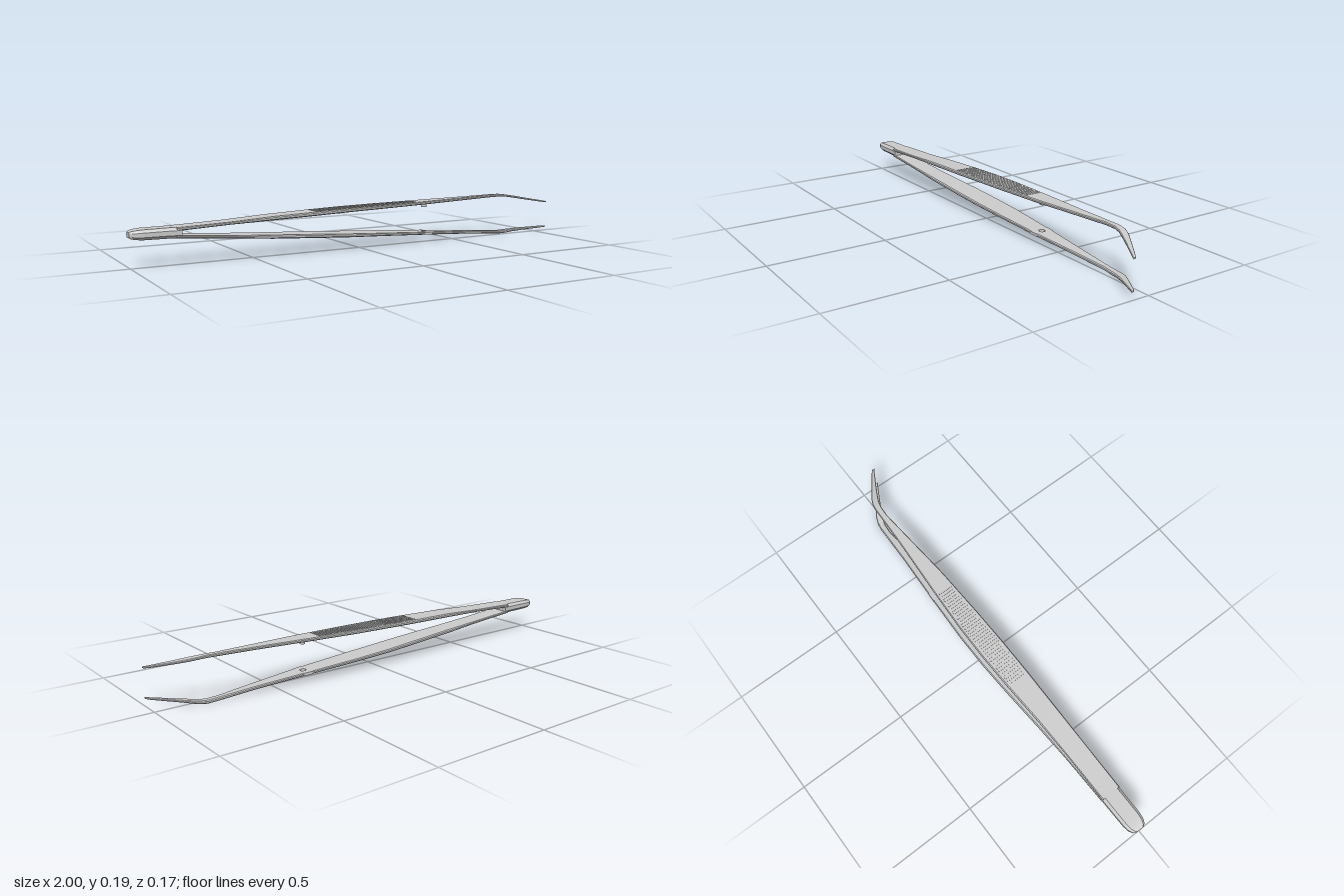
import * as THREE from 'three';
import { toCreasedNormals } from 'three/addons/utils/BufferGeometryUtils.js';

const material = new THREE.MeshStandardMaterial({ color: 0xcccccc });

// Stations: x, back z, front z, upper arm outer/inner y, lower arm inner/outer y
const stations = [
  [-1.0, -0.042, -0.002, 0.141, 0.130, 0.130, 0.119],
  [-0.992, -0.053, 0.009, 0.145, 0.130, 0.130, 0.115],
  [-0.975, -0.061, 0.017, 0.148, 0.130, 0.130, 0.112],
  [-0.95, -0.065, 0.021, 0.150, 0.130, 0.130, 0.110],
  [-0.86, -0.066, 0.022, 0.151, 0.131, 0.129, 0.109],
  [-0.8, -0.066, 0.023, 0.151, 0.138, 0.118, 0.107],
  [-0.6, -0.066, 0.024, 0.158, 0.147, 0.103, 0.092],
  [-0.42, -0.071, 0.026, 0.168, 0.152, 0.092, 0.076],
  [-0.2, -0.081, 0.028, 0.175, 0.159, 0.079, 0.063],
  [-0.05, -0.085, 0.027, 0.179, 0.164, 0.069, 0.054],
  [0.12, -0.083, 0.023, 0.182, 0.168, 0.059, 0.046],
  [0.34, -0.071, 0.014, 0.186, 0.173, 0.046, 0.034],
  [0.38, -0.068, 0.012, 0.187, 0.174, 0.044, 0.032],
  [0.6, -0.053, -0.006, 0.191, 0.179, 0.030, 0.017],
  [0.75, -0.046, -0.018, 0.194, 0.182, 0.019, 0.005],
  [0.8, -0.044, -0.014, 0.194, 0.183, 0.016, 0.002],
  [0.83, -0.039, -0.006, 0.191, 0.181, 0.018, 0.005],
  [0.86, -0.026, 0.008, 0.186, 0.176, 0.022, 0.011],
  [0.9, 0.0, 0.028, 0.178, 0.169, 0.027, 0.018],
  [0.985, 0.058, 0.074, 0.162, 0.155, 0.037, 0.030],
  [1.0, 0.071, 0.083, 0.159, 0.154, 0.038, 0.033],
];

// Linear interpolation of the station table
function at(x) {
  const i = Math.max(1, stations.findIndex((s) => s[0] >= x));
  const a = stations[i - 1], b = stations[i];
  const t = (x - a[0]) / (b[0] - a[0]);
  return a.map((v, k) => v + (b[k] - v) * t);
}

// Skin with chamfered rectangular sections between two x limits
function loft(x0, x1, topCol, bottomCol) {
  const xs = [x0, ...stations.map((s) => s[0]).filter((x) => x > x0 && x < x1), x1];
  const pos = [], index = [], n = 8;
  for (const x of xs) {
    const s = at(x), zb = s[1], zf = s[2], hi = s[topCol], lo = s[bottomCol];
    const c = Math.min((hi - lo) * 0.28, (zf - zb) * 0.2);
    const ring = [
      [lo, zb + c], [lo, zf - c], [lo + c, zf], [hi - c, zf],
      [hi, zf - c], [hi, zb + c], [hi - c, zb], [lo + c, zb],
    ];
    for (const [y, z] of ring) pos.push(x, y, z);
  }
  for (let r = 0; r < xs.length - 1; r++) {
    for (let k = 0; k < n; k++) {
      const a = r * n + k, b = r * n + (k + 1) % n;
      index.push(a, a + n, b, b, a + n, b + n);
    }
  }
  const last = (xs.length - 1) * n;
  for (let k = 1; k < n - 1; k++) {
    index.push(0, k, k + 1, last, last + k + 1, last + k);
  }
  const g = new THREE.BufferGeometry();
  g.setAttribute('position', new THREE.Float32BufferAttribute(pos, 3));
  g.setIndex(index);
  return toCreasedNormals(g, 0.6);
}

// Short panel with a round hole, sheared to follow the arm
function holedPanel(x0, x1, topCol, bottomCol) {
  const a = at(x0), b = at(x1), mid = at((x0 + x1) / 2);
  const shape = new THREE.Shape([
    new THREE.Vector2(x0, -a[2]), new THREE.Vector2(x1, -b[2]),
    new THREE.Vector2(x1, -b[1]), new THREE.Vector2(x0, -a[1]),
  ]);
  const hole = new THREE.Path();
  hole.absarc((x0 + x1) / 2, -(mid[1] + mid[2]) / 2, 0.013, 0, Math.PI * 2, true);
  shape.holes.push(hole);
  const g = new THREE.ExtrudeGeometry(shape, { depth: 1, bevelEnabled: false, curveSegments: 20 });
  g.rotateX(-Math.PI / 2);
  const p = g.attributes.position;
  for (let i = 0; i < p.count; i++) {
    const s = at(THREE.MathUtils.clamp(p.getX(i), x0, x1));
    p.setY(i, s[bottomCol] + (s[topCol] - s[bottomCol]) * p.getY(i));
  }
  return toCreasedNormals(g, 0.6);
}

export function createModel() {
  const model = new THREE.Group();
  model.name = 'tweezers';
  const add = (name, geometry, parent = model) => {
    const mesh = new THREE.Mesh(geometry, material);
    mesh.name = name;
    parent.add(mesh);
    return mesh;
  };

  // Solid joined end and the two arms
  add('joinedEnd', loft(-1, -0.8, 3, 6));
  add('upperArm', loft(-0.82, 1, 3, 4));
  add('lowerArmRear', loft(-0.82, 0.34, 5, 6));
  add('lowerArmHolePanel', holedPanel(0.34, 0.38, 5, 6));
  add('lowerArmTip', loft(0.38, 1, 5, 6));

  // Guide pin under the upper arm, facing the hole
  const pin = add('guidePin', new THREE.CylinderGeometry(0.012, 0.012, 0.022, 24));
  pin.position.set(0.36, 0.168, -0.028);

  // Fine grip ridges across the outer faces
  const grips = new THREE.Group();
  grips.name = 'gripRidges';
  model.add(grips);
  for (let i = 0; i <= 36; i++) {
    const x = -0.21 + i * 0.014;
    const s = at(x), width = s[2] - s[1] - 0.026;
    for (const col of [3, 6]) {
      const ridge = add('gripRidge', new THREE.BoxGeometry(0.006, 0.003, width), grips);
      ridge.position.set(x, s[col], (s[1] + s[2]) / 2);
    }
  }
  return model;
}
